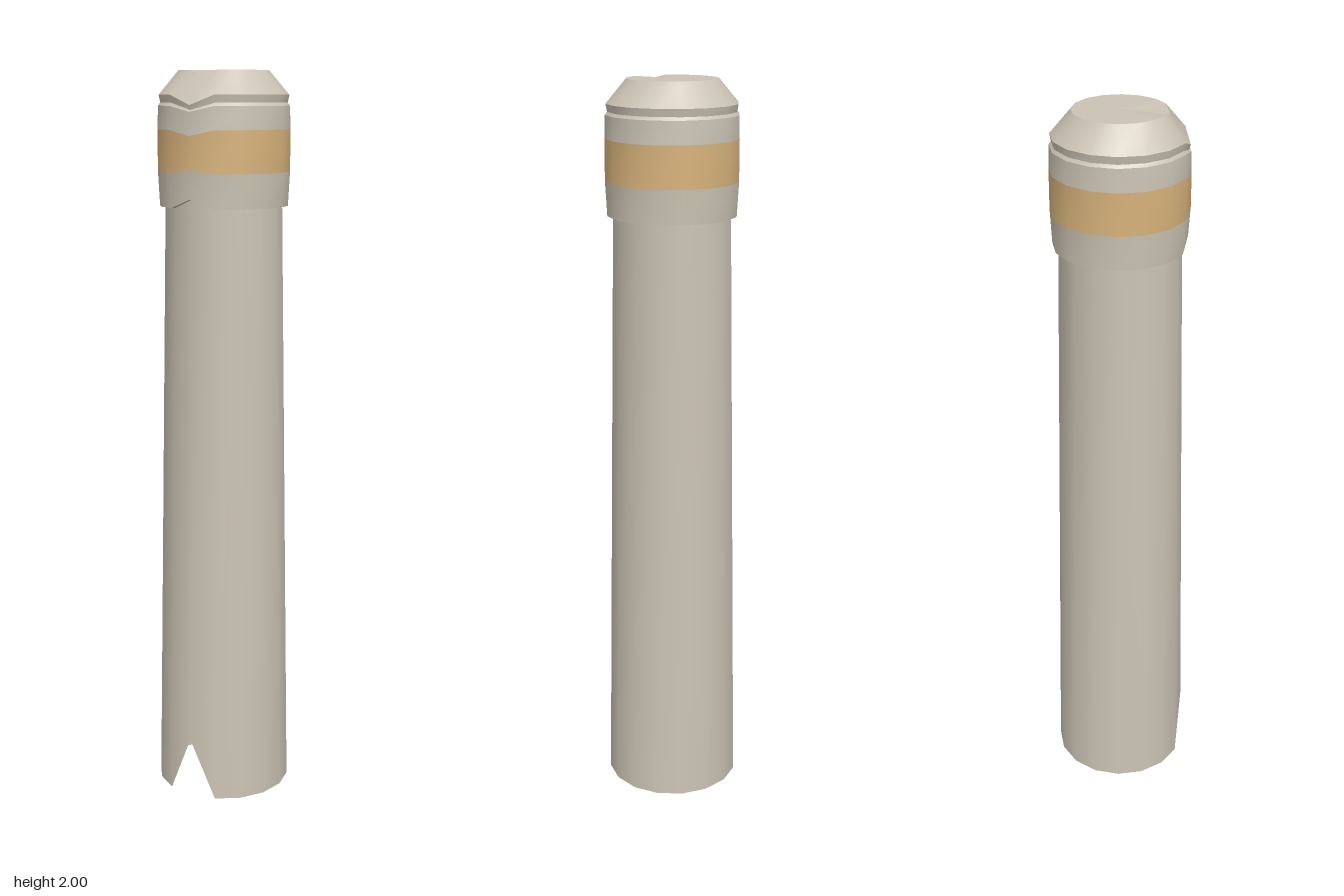
import * as THREE from 'three';

const SIDES = 16;

// Rows run from bottom to top as [radius, y, y of the front corner].
function ringSurface(rows) {
  const positions = [];
  const indices = [];
  for (const [r, y, frontY = y] of rows) {
    for (let i = 0; i < SIDES; i++) {
      const a = (i / SIDES) * Math.PI * 2;
      positions.push(r * Math.sin(a), i === 0 ? frontY : y, r * Math.cos(a));
    }
  }
  for (let k = 0; k < rows.length - 1; k++) {
    for (let i = 0; i < SIDES; i++) {
      const j = (i + 1) % SIDES;
      const a = k * SIDES + i, b = k * SIDES + j;
      const c = b + SIDES, d = a + SIDES;
      if (rows[k][0] > 0) indices.push(a, b, c);
      if (rows[k + 1][0] > 0) indices.push(a, c, d);
      else if (rows[k][0] > 0) indices.push(a, b, d);
    }
  }
  const geometry = new THREE.BufferGeometry();
  geometry.setAttribute('position', new THREE.Float32BufferAttribute(positions, 3));
  geometry.setIndex(indices);
  geometry.computeVertexNormals();
  return geometry;
}

export function createModel() {
  const stone = new THREE.MeshStandardMaterial({ color: 0xcbc3b4, side: THREE.DoubleSide });
  stone.name = 'stone';
  const amber = new THREE.MeshStandardMaterial({ color: 0xd6b27a, side: THREE.DoubleSide });
  amber.name = 'amber';

  const group = new THREE.Group();
  group.name = 'bollard';
  const add = (name, rows, material = stone) => {
    const mesh = new THREE.Mesh(ringSurface(rows), material);
    mesh.name = name;
    group.add(mesh);
  };

  // Tapered hollow shaft, notched at the front of its foot
  add('shaft', [[0.187, 0, 0.17], [0.158, 1.65, 1.675]]);
  add('innerFloor', [[0, 0.155], [0.183, 0.155, 0.17]].reverse());

  // Collar with a coloured band between two plain bands
  add('collarUnderside', [[0.158, 1.65, 1.675], [0.173, 1.65, 1.675]]);
  add('lowerCollar', [[0.173, 1.65, 1.675], [0.178, 1.74, 1.75]]);
  add('colourBand', [[0.178, 1.74, 1.75], [0.178, 1.85, 1.835]], amber);
  add('upperCollar', [[0.178, 1.85, 1.835], [0.176, 1.91, 1.895]]);

  // Shallow groove, lip and flat-topped cone cap
  add('collarLedge', [[0.176, 1.91, 1.895], [0.17, 1.918, 1.9]]);
  add('capLip', [[0.17, 1.918, 1.9], [0.174, 1.938, 1.912]]);
  add('capCone', [[0.174, 1.938, 1.912], [0.121, 2, 1.99]]);
  add('capTop', [[0.121, 2, 1.99], [0, 2, 2]]);

  return group;
}
